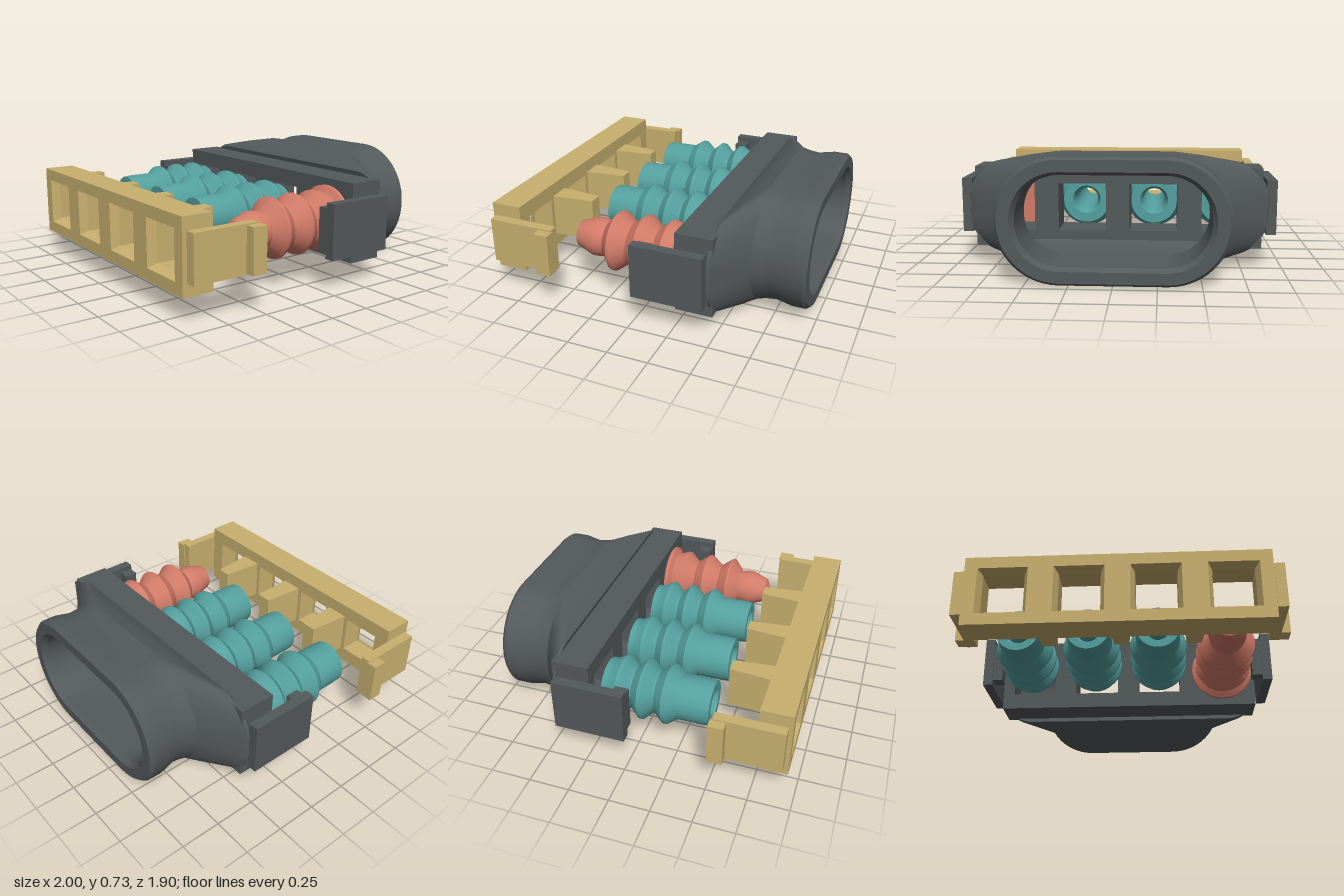
import * as THREE from 'three';
import { toCreasedNormals } from 'three/addons/utils/BufferGeometryUtils.js';

const CY = 0.367;                               // height of the connector axis
const SLOTS = [-0.655, -0.218, 0.218, 0.655];   // cavity centres

function material(name, color) {
  const m = new THREE.MeshStandardMaterial({ color });
  m.name = name;
  return m;
}

function part(parent, name, geometry, mat, x = 0, y = 0, z = 0) {
  const mesh = new THREE.Mesh(geometry, mat);
  mesh.name = name;
  mesh.position.set(x, y, z);
  parent.add(mesh);
  return mesh;
}

// Box given by its limits on each axis
function block(parent, name, mat, x0, x1, y0, y1, z0, z1) {
  return part(parent, name, new THREE.BoxGeometry(x1 - x0, y1 - y0, z1 - z0), mat,
    (x0 + x1) / 2, (y0 + y1) / 2, (z0 + z1) / 2);
}

// Profile of [radius, z] turned about the z axis
function turned(profile, sides = 40) {
  const g = new THREE.LatheGeometry(profile.map(p => new THREE.Vector2(p[0], p[1])), sides);
  g.rotateX(Math.PI / 2);
  return toCreasedNormals(g, 0.45);
}

// Rectangular plate with a row of square windows
function windowPlate(hw, hh, hole, depth) {
  const s = new THREE.Shape();
  s.moveTo(-hw, -hh).lineTo(hw, -hh).lineTo(hw, hh).lineTo(-hw, hh).closePath();
  for (const x of SLOTS) {
    const h = new THREE.Path();
    h.moveTo(x - hole, -hole).lineTo(x - hole, hole).lineTo(x + hole, hole)
      .lineTo(x + hole, -hole).closePath();
    s.holes.push(h);
  }
  return new THREE.ExtrudeGeometry(s, { depth, bevelEnabled: false });
}

// Closed tube wall through rounded-rectangle sections [z, halfWidth, halfHeight, radius]
function shell(sections) {
  const steps = 14, n = 4 * (steps + 1), pos = [], index = [];
  for (const [z, hw, hh, r] of sections) {
    for (let c = 0; c < 4; c++) {
      const sx = c === 0 || c === 3 ? 1 : -1, sy = c < 2 ? 1 : -1;
      for (let i = 0; i <= steps; i++) {
        const a = (c + i / steps) * Math.PI / 2;
        pos.push(sx * (hw - r) + r * Math.cos(a), sy * (hh - r) + r * Math.sin(a), z);
      }
    }
  }
  const m = sections.length;
  for (let j = 0; j < m; j++) {
    for (let i = 0; i < n; i++) {
      const k = (i + 1) % n, q = (j + 1) % m;
      const a = j * n + i, b = q * n + i, c = q * n + k, d = j * n + k;
      index.push(a, b, d, b, c, d);
    }
  }
  const g = new THREE.BufferGeometry();
  g.setAttribute('position', new THREE.Float32BufferAttribute(pos, 3));
  g.setIndex(index);
  return toCreasedNormals(g, 0.5);
}

export function createModel() {
  const model = new THREE.Group();
  model.name = 'connectorAssembly';
  const grey = material('dark grey', 0x54595b);
  const tan = material('tan', 0xc8b06e);
  const teal = material('teal', 0x54a09e);
  const red = material('coral red', 0xd27b68);

  // Rear housing: windowed block, oval shroud and side latches
  const housing = new THREE.Group();
  housing.name = 'housing';
  model.add(housing);
  part(housing, 'housingBlock', windowPlate(0.875, 0.247, 0.145, 0.23), grey, 0, CY, -0.48);
  part(housing, 'shroud', shell([
    [-0.455, 0.915, 0.275, 0.22],
    [-0.47, 0.91, 0.29, 0.23],
    [-0.56, 0.77, 0.335, 0.30],
    [-0.63, 0.665, 0.362, 0.355],
    [-0.69, 0.65, 0.352, 0.35],
    [-0.75, 0.643, 0.347, 0.345],
    [-0.85, 0.665, 0.364, 0.36],
    [-0.93, 0.665, 0.364, 0.36],
    [-0.953, 0.645, 0.348, 0.345],
    [-0.953, 0.575, 0.28, 0.275],
    [-0.92, 0.55, 0.26, 0.255],
    [-0.63, 0.55, 0.26, 0.255],
    [-0.47, 0.78, 0.2, 0.17],
  ]), grey, 0, CY, 0);

  // Front retainer: windowed bar with tapered window edges
  const retainer = new THREE.Group();
  retainer.name = 'retainer';
  model.add(retainer);
  part(retainer, 'retainerBar', windowPlate(0.875, 0.217, 0.145, 0.19), tan, 0, CY, 0.76);
  const q = Math.SQRT2;
  const lining = new THREE.LatheGeometry(
    [[0.145, 0.76], [0.145, 0.95], [0.12, 0.9], [0.12, 0.76], [0.145, 0.76]]
      .map(p => new THREE.Vector2(p[0] * q, p[1])), 4, Math.PI / 4).rotateX(Math.PI / 2);
  const flatLining = toCreasedNormals(lining, 0.1);
  for (const x of SLOTS) part(retainer, 'windowEdge', flatLining, tan, x, CY, 0);

  // Tapered dividers behind the bar
  const wedge = new THREE.Shape();
  wedge.moveTo(-0.07, -0.76).lineTo(0.07, -0.76).lineTo(0.045, -0.49)
    .lineTo(-0.045, -0.49).closePath();
  const divider = new THREE.ExtrudeGeometry(wedge, { depth: 0.27, bevelEnabled: false });
  divider.rotateX(-Math.PI / 2);
  for (const x of [-0.437, 0, 0.437]) part(retainer, 'divider', divider, tan, x, CY - 0.135, 0);

  // Latch arms on both sides
  for (const s of [-1, 1]) {
    const side = (parent, name, mat, a, b, ...rest) =>
      block(parent, name, mat, Math.min(s * a, s * b), Math.max(s * a, s * b), ...rest);
    side(housing, 'latchArm', grey, 0.905, 0.967, 0.2, 0.535, -0.45, -0.01);
    side(housing, 'latchHook', grey, 0.84, 0.91, 0.235, 0.5, -0.1, -0.015);
    side(retainer, 'clipArm', tan, 0.88, 0.942, 0.228, 0.508, 0.51, 0.925);
    side(retainer, 'clipHook', tan, 0.93, 1.0, 0.235, 0.5, 0.5, 0.592);
  }

  // Hollow ribbed wire seals
  const seal = turned([
    [0.09, -0.215], [0.148, -0.215], [0.15, -0.18], [0.183, -0.12], [0.183, -0.1],
    [0.133, -0.05], [0.133, -0.035], [0.185, 0.02], [0.185, 0.04],
    [0.133, 0.095], [0.133, 0.11], [0.183, 0.17], [0.183, 0.19],
    [0.14, 0.25], [0.14, 0.4], [0.136, 0.45], [0.09, 0.45],
    [0.07, 0.41], [0.07, -0.17], [0.09, -0.215],
  ]);
  for (const x of SLOTS.slice(0, 3)) part(model, 'wireSeal', seal, teal, x, CY, 0);

  // Solid ribbed cavity plug
  const plug = turned([
    [0, -0.25], [0.205, -0.25], [0.205, -0.228], [0.168, -0.205], [0.168, -0.19],
    [0.186, -0.145], [0.186, -0.128], [0.132, -0.065], [0.132, -0.05],
    [0.188, 0.022], [0.188, 0.04], [0.132, 0.11], [0.132, 0.125],
    [0.186, 0.195], [0.186, 0.21], [0.112, 0.275], [0.12, 0.32], [0.12, 0.36],
    [0.082, 0.465], [0, 0.505],
  ]);
  part(model, 'cavityPlug', plug, red, SLOTS[3], CY, 0);

  return model;
}
